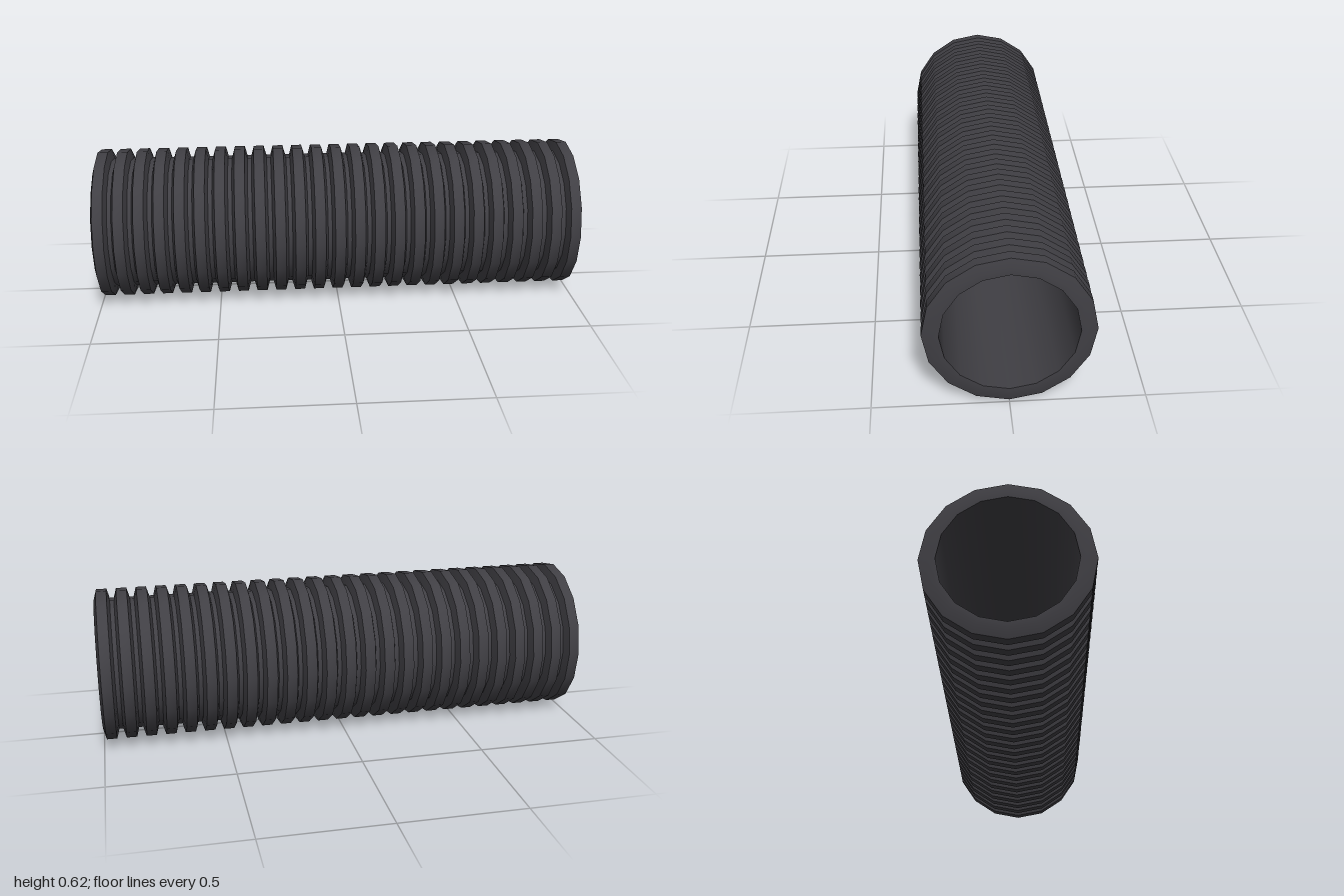
import * as THREE from 'three';
import { toCreasedNormals } from 'three/addons/utils/BufferGeometryUtils.js';

const SIDES = 16;
const RIDGES = 25;
const HALF_WIDTH = 0.032; // half of one ridge at its base
const PITCH = (2 - 2 * HALF_WIDTH) / (RIDGES - 1);
const CREST = 0.311;
const VALLEY = 0.272;
const BORE = 0.25;

export function createModel() {
  const group = new THREE.Group();
  group.name = 'corrugatedPipe';
  const rubber = new THREE.MeshStandardMaterial({ color: 0x403f44 });
  rubber.name = 'darkRubber';

  // Closed wall section: end face, ridges along the outside, end face, straight bore
  const profile = [new THREE.Vector2(BORE, -1)];
  for (let i = 0; i < RIDGES; i++) {
    const c = -1 + HALF_WIDTH + i * PITCH;
    profile.push(
      new THREE.Vector2(VALLEY, c - HALF_WIDTH),
      new THREE.Vector2(CREST, c - 0.021),
      new THREE.Vector2(CREST, c + 0.021),
      new THREE.Vector2(VALLEY, c + HALF_WIDTH)
    );
  }
  profile.push(new THREE.Vector2(BORE, 1), new THREE.Vector2(BORE, -1));

  // Lay the pipe along x, smooth around its girth and sharp at the ridge edges
  const wall = new THREE.LatheGeometry(profile, SIDES);
  wall.rotateZ(-Math.PI / 2);
  const pipe = new THREE.Mesh(toCreasedNormals(wall, Math.PI / 6), rubber);
  pipe.name = 'ribbedPipeWall';
  pipe.position.y = 0.312;
  group.add(pipe);
  return group;
}
